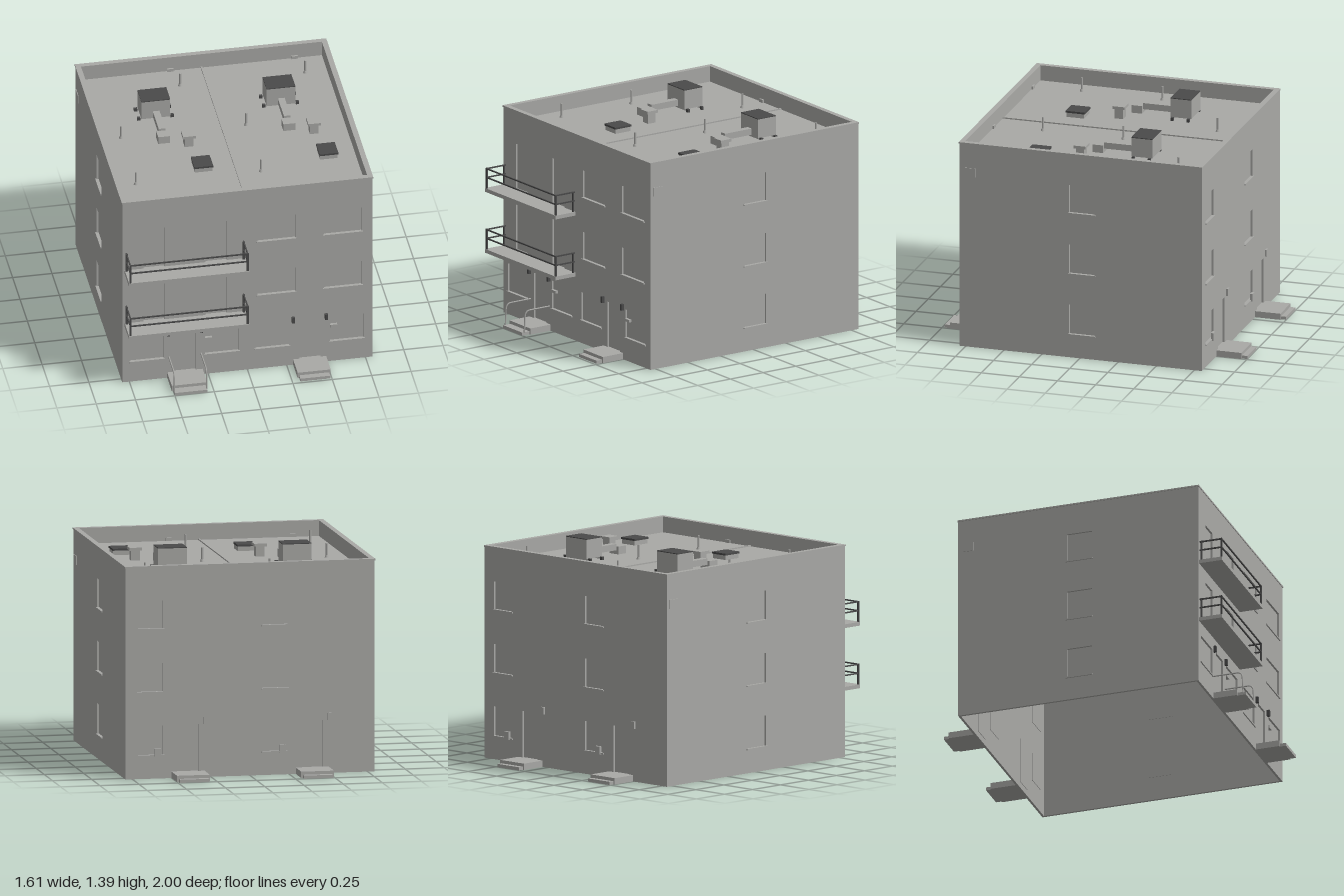
import * as THREE from 'three';

const wallGrey = new THREE.MeshStandardMaterial({ color: 0xa9a9a6, side: THREE.DoubleSide });
wallGrey.name = 'warm grey';
const darkGrey = new THREE.MeshStandardMaterial({ color: 0x4a4a4a });
darkGrey.name = 'dark grey';

const W = 1.59, H = 1.345, ROOF = 1.245, CZ = -0.005, T = 0.015;

// Box given by its min and max corners
function box(parent, name, x0, x1, y0, y1, z0, z1, mat = wallGrey) {
  const m = new THREE.Mesh(new THREE.BoxGeometry(x1 - x0, y1 - y0, z1 - z0), mat);
  m.position.set((x0 + x1) / 2, (y0 + y1) / 2, (z0 + z1) / 2);
  m.name = name;
  parent.add(m);
  return m;
}

function rect(Type, x0, x1, y0, y1) {
  const p = new Type();
  p.moveTo(x0, y0);
  p.lineTo(x1, y0);
  p.lineTo(x1, y1);
  p.lineTo(x0, y1);
  p.closePath();
  return p;
}

// Thin wall with recessed openings; each opening is [x0, x1, y0, y1, hasSill]
function wall(name, openings) {
  const g = new THREE.Group();
  g.name = name;
  const shape = rect(THREE.Shape, -W / 2, W / 2, 0, H - 0.01);
  for (const [x0, x1, y0, y1, sill] of openings) {
    shape.holes.push(rect(THREE.Path, x0, x1, y0, y1));
    box(g, sill ? 'windowPane' : 'doorPanel', x0, x1, y0, y1, -T - 0.003, -T + 0.002);
    if (sill) box(g, 'windowSill', x0 - 0.007, x1 + 0.007, y0 - 0.008, y0, -T, 0.008);
  }
  const geo = new THREE.ExtrudeGeometry(shape, { depth: T, bevelEnabled: false });
  geo.translate(0, 0, -T);
  const m = new THREE.Mesh(geo, wallGrey);
  m.name = name + 'Surface';
  g.add(m);
  return g;
}

function makeWalls(root) {
  const floors = [[0.155, 0.34], [0.555, 0.735], [0.955, 1.13]];
  const doors = [[-0.465, -0.33, 0.04, 0.335], [0.33, 0.465, 0.04, 0.335]];

  // Front: windows and entrances below, balcony doors upper left
  const front = [...doors];
  for (const x of [-0.745, -0.27, 0.05, 0.525]) front.push([x, x + 0.215, 0.15, 0.33, true]);
  for (const y of [0.55, 0.95])
    for (const x of [0.065, 0.487]) front.push([x, x + 0.24, y, y + 0.175, true]);
  for (const y of [0.44, 0.835])
    for (const x of [-0.66, -0.265]) front.push([x, x + 0.132, y, y + 0.292]);
  const f = wall('frontWall', front);
  f.position.z = CZ + W / 2;
  for (const x of [-0.505, -0.295, 0.29, 0.5])
    box(f, 'entranceLamp', x - 0.009, x + 0.009, 0.32, 0.36, 0, 0.018, darkGrey);
  for (const x of [-0.27, 0.525])
    box(f, 'letterBox', x, x + 0.045, 0.255, 0.272, -T, 0.006);

  // Back
  const back = [...doors];
  for (const [y0, y1] of floors)
    for (const x of [-0.715, 0.08]) back.push([x, x + 0.16, y0 - 0.005, y1 - 0.005, true]);
  const b = wall('backWall', back);
  b.rotation.y = Math.PI;
  b.position.z = CZ - W / 2;
  for (const x of [-0.285, 0.505]) box(b, 'wallLamp', x - 0.015, x + 0.015, 0.335, 0.38, 0, 0.012);
  for (const x of [-0.59, 0.205]) box(b, 'meterBox', x - 0.02, x + 0.02, 0.14, 0.19, 0, 0.018);

  // Sides
  for (const s of [1, -1]) {
    const w = wall(s > 0 ? 'leftWall' : 'rightWall',
      floors.map(([y0, y1]) => [-0.075, 0.09, y0, y1 + 0.008, true]));
    w.rotation.y = s * Math.PI / 2;
    w.position.set(s * W / 2, 0, CZ);
    box(w, 'wallVent', -0.77, -0.69, 1.123, 1.18, 0, 0.004);
    root.add(w);
  }
  root.add(f, b);
}

// Parapet ring, its cap, and the roof deck
function makeRoof(root) {
  const ring = (name, out, y0, y1) => {
    const o = W / 2 + out, i = W / 2 - 0.03;
    const s = rect(THREE.Shape, -o, o, -o, o);
    s.holes.push(rect(THREE.Path, -i, i, -i, i));
    const geo = new THREE.ExtrudeGeometry(s, { depth: y1 - y0, bevelEnabled: false });
    geo.rotateX(-Math.PI / 2);
    const m = new THREE.Mesh(geo, wallGrey);
    m.position.set(0, y0, CZ);
    m.name = name;
    root.add(m);
  };
  ring('parapet', -0.001, ROOF - 0.01, H - 0.01);
  ring('parapetCap', 0.004, H - 0.01, H);
  box(root, 'roofDeck', -0.78, 0.78, ROOF - 0.01, ROOF, CZ - 0.78, CZ + 0.78);
  box(root, 'roofSeam', -0.005, 0.005, ROOF, ROOF + 0.008, CZ - 0.765, CZ + 0.765);
  for (const x of [-0.2, 0.59]) box(root, 'scupper', x - 0.02, x + 0.02, ROOF, ROOF + 0.02, -0.775, -0.758);
  for (const x of [-0.6, 0.195]) box(root, 'scupper', x - 0.02, x + 0.02, ROOF, ROOF + 0.02, 0.75, 0.762);
}

// One dwelling's rooftop equipment
function makeRoofEquipment(dx) {
  const g = new THREE.Group();
  g.name = 'roofEquipment';
  g.position.x = dx;
  box(g, 'airUnit', -0.48, -0.297, 1.262, 1.384, -0.38, -0.243);
  box(g, 'airUnitGrille', -0.48, -0.297, 1.384, 1.389, -0.38, -0.243, darkGrey);
  for (const z of [-0.365, -0.26]) {
    box(g, 'airUnitSkid', -0.5, -0.277, 1.252, 1.262, z - 0.006, z + 0.006);
    for (const x of [-0.495, -0.282])
      box(g, 'airUnitFoot', x - 0.01, x + 0.01, ROOF, 1.266, z - 0.008, z + 0.008, darkGrey);
  }
  box(g, 'duct', -0.408, -0.365, 1.27, 1.31, -0.245, -0.04);
  box(g, 'ductOutlet', -0.424, -0.348, ROOF, 1.295, -0.04, 0.03);
  box(g, 'ventStem', -0.268, -0.212, ROOF, 1.31, 0.04, 0.095);
  box(g, 'ventCap', -0.28, -0.2, 1.31, 1.328, 0.028, 0.107);
  box(g, 'hatchCurb', -0.258, -0.147, ROOF, 1.274, 0.275, 0.39);
  box(g, 'hatchLid', -0.262, -0.143, 1.274, 1.286, 0.27, 0.395, darkGrey);
  for (const [x, z] of [[-0.64, -0.08], [-0.168, -0.595], [-0.645, 0.45]]) {
    const pipe = new THREE.Mesh(new THREE.CylinderGeometry(0.007, 0.007, 0.09, 8), wallGrey);
    pipe.position.set(x, ROOF + 0.045, z);
    pipe.name = 'ventPipe';
    const collar = new THREE.Mesh(new THREE.CylinderGeometry(0.009, 0.014, 0.015, 8), wallGrey);
    collar.position.set(x, ROOF + 0.0075, z);
    collar.name = 'pipeCollar';
    g.add(pipe, collar);
  }
  return g;
}

// Slab with two-bar railing on three sides
function makeBalcony(y) {
  const g = new THREE.Group();
  g.name = 'balcony';
  g.position.y = y;
  const x0 = -0.78, x1 = -0.015, r = 0.004;
  box(g, 'balconySlab', x0, x1, 0, 0.024, 0.77, 0.942);
  for (const x of [x0 + 0.01, x1 - 0.01]) {
    for (const z of [0.802, 0.935])
      box(g, 'railingPost', x - 0.007, x + 0.007, 0.024, 0.155, z - r, z + r, darkGrey);
    for (const h of [0.094, 0.151])
      box(g, 'sideRail', x - r, x + r, h - r, h + r, 0.79, 0.939, darkGrey);
  }
  for (const h of [0.094, 0.151])
    box(g, 'frontRail', x0 + 0.005, x1 - 0.005, h - r, h + r, 0.931, 0.939, darkGrey);
  return g;
}

function makeSteps(root) {
  for (const x of [-0.397, 0.395]) {
    const f = x < 0 ? 0.015 : 0;
    box(root, 'frontLanding', x - 0.105 - f / 2, x + 0.105 + f / 2, 0, 0.04, 0.785, 0.945);
    box(root, 'frontStep', x - 0.095 - f / 2, x + 0.095 + f / 2, 0, 0.02, 0.945, 0.985 + f);
    box(root, 'backLanding', x - 0.105, x + 0.105, 0, 0.04, -0.965, -0.795);
    box(root, 'backStep', x - 0.094, x + 0.094, 0, 0.02, -1, -0.965);
  }
  // Bent handrails beside the right-hand entrance
  for (const x of [-0.5, -0.295]) {
    const path = new THREE.CurvePath();
    const v = (y, z) => new THREE.Vector3(x, y, z);
    path.add(new THREE.LineCurve3(v(0.157, 0.79), v(0.157, 0.945)));
    path.add(new THREE.QuadraticBezierCurve3(v(0.157, 0.945), v(0.157, 0.972), v(0.125, 0.978)));
    path.add(new THREE.LineCurve3(v(0.125, 0.978), v(0.015, 0.983)));
    const rail = new THREE.Mesh(new THREE.TubeGeometry(path, 24, 0.005, 6), wallGrey);
    rail.name = 'handrail';
    root.add(rail);
  }
}

export function createModel() {
  const root = new THREE.Group();
  root.name = 'apartmentHouse';
  makeWalls(root);
  makeRoof(root);
  for (const dx of [0, 0.795]) root.add(makeRoofEquipment(dx));
  for (const y of [0.416, 0.812]) root.add(makeBalcony(y));
  makeSteps(root);
  return root;
}
